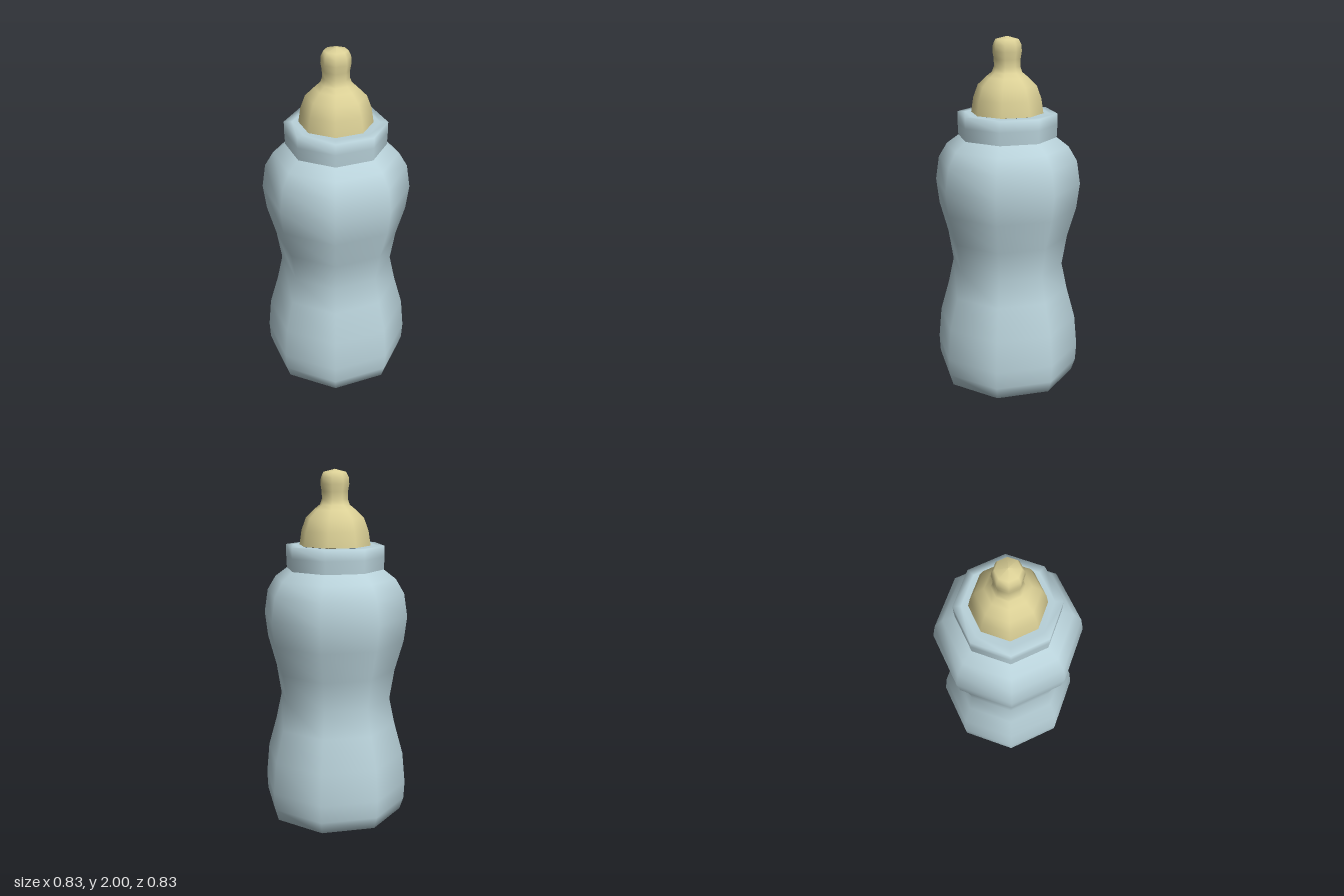
import * as THREE from 'three';

const SIDES = 8;

// Smooth eight-sided lathe from [radius, height] pairs, listed bottom to top
function turned(name, profile, material) {
  const points = profile.map(([r, y]) => new THREE.Vector2(r, y));
  const mesh = new THREE.Mesh(new THREE.LatheGeometry(points, SIDES), material);
  mesh.name = name;
  return mesh;
}

export function createModel() {
  const blue = new THREE.MeshStandardMaterial({ color: 0xb9d2da });
  blue.name = 'pale blue';
  const cream = new THREE.MeshStandardMaterial({ color: 0xdbd096 });
  cream.name = 'cream yellow';

  const group = new THREE.Group();
  group.name = 'babyBottle';

  // Waisted body with shoulder, closed underneath
  group.add(turned('body', [
    [0, 0.005], [0.27, 0.012], [0.39, 0.04], [0.412, 0.11], [0.417, 0.21],
    [0.4, 0.39], [0.35, 0.57], [0.318, 0.72], [0.345, 0.89], [0.393, 1.06],
    [0.41, 1.2], [0.39, 1.33], [0.342, 1.41], [0.275, 1.46],
  ], blue));

  // Screw collar with a rim running in to the teat
  group.add(turned('collar', [
    [0.275, 1.46], [0.278, 1.53], [0.278, 1.59], [0.235, 1.59], [0.19, 1.588],
  ], blue));

  // Teat: dome, narrow neck and rounded tip
  group.add(turned('teat', [
    [0.2, 1.59], [0.188, 1.67], [0.162, 1.74], [0.115, 1.785], [0.083, 1.81],
    [0.072, 1.84], [0.073, 1.88], [0.08, 1.92], [0.077, 1.955], [0.063, 1.984],
    [0, 2],
  ], cream));

  return group;
}
